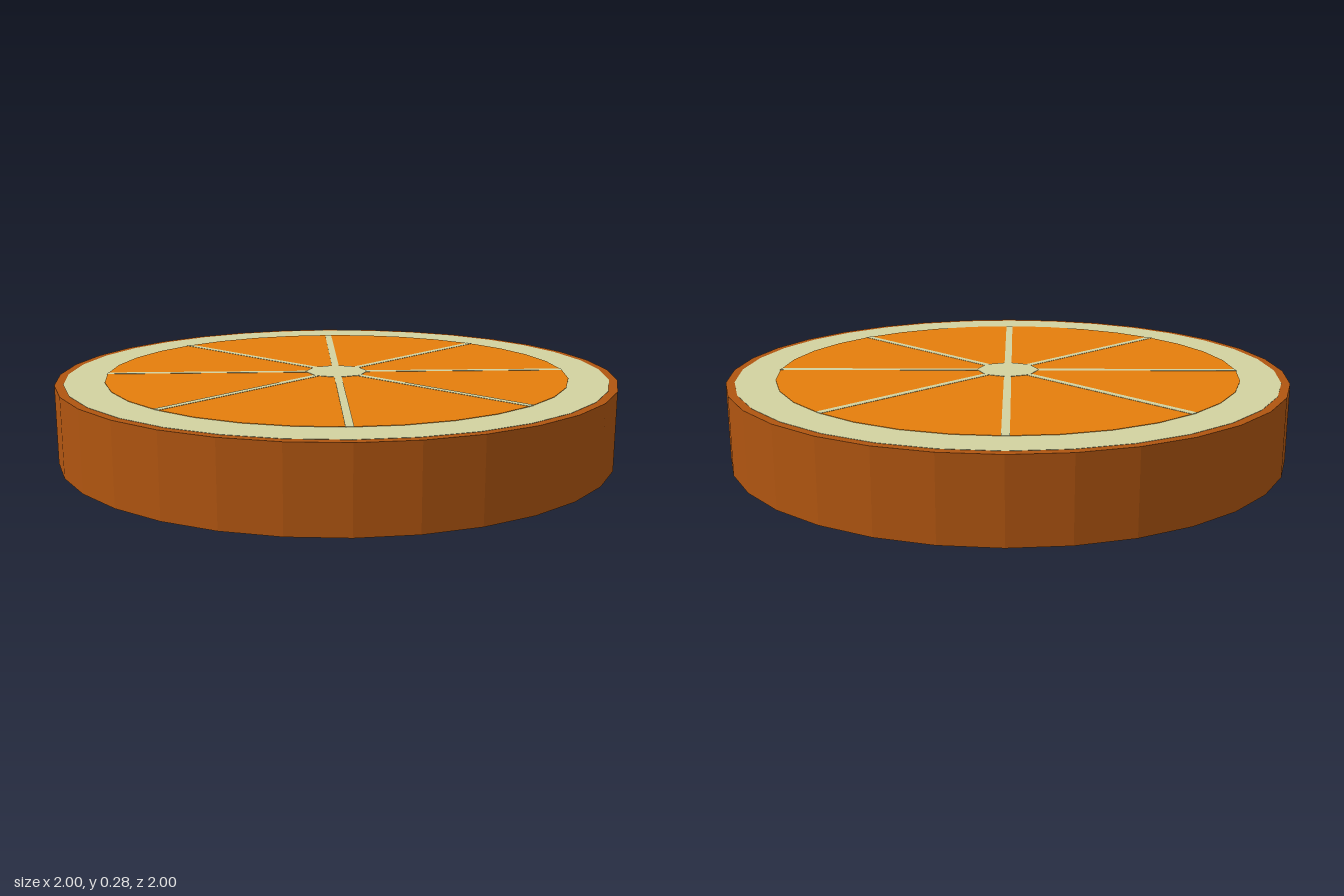
import * as THREE from 'three';

const HEIGHT = 0.285;

export function createModel() {
  const group = new THREE.Group();
  const paint = (color) => new THREE.MeshStandardMaterial({ color, flatShading: true });
  const rindMat = paint(0xb05510), pithMat = paint(0xd2d2a0), pulpMat = paint(0xe67e0c);

  function add(name, geometry, material) {
    const mesh = new THREE.Mesh(geometry, material);
    mesh.name = name;
    mesh.position.y = HEIGHT / 2;
    group.add(mesh);
    return mesh;
  }

  // Nested discs, each standing a hair proud of the one around it
  const disc = (name, radius, inset, sides, material) =>
    add(name, new THREE.CylinderGeometry(radius, radius, HEIGHT - 2 * inset, sides), material);
  disc('rind', 1, 0.004, 32, rindMat);
  disc('pith', 0.97, 0.003, 32, pithMat);
  disc('pulp', 0.83, 0.0015, 32, pulpMat);
  disc('core', 0.113, 0, 8, pithMat);

  // Membranes: four bars across the slice make eight segments
  for (let i = 0; i < 4; i++) {
    const bar = add('membrane', new THREE.BoxGeometry(1.66, HEIGHT - 0.001, 0.026), pithMat);
    bar.rotation.y = (i * Math.PI) / 4;
  }
  return group;
}
